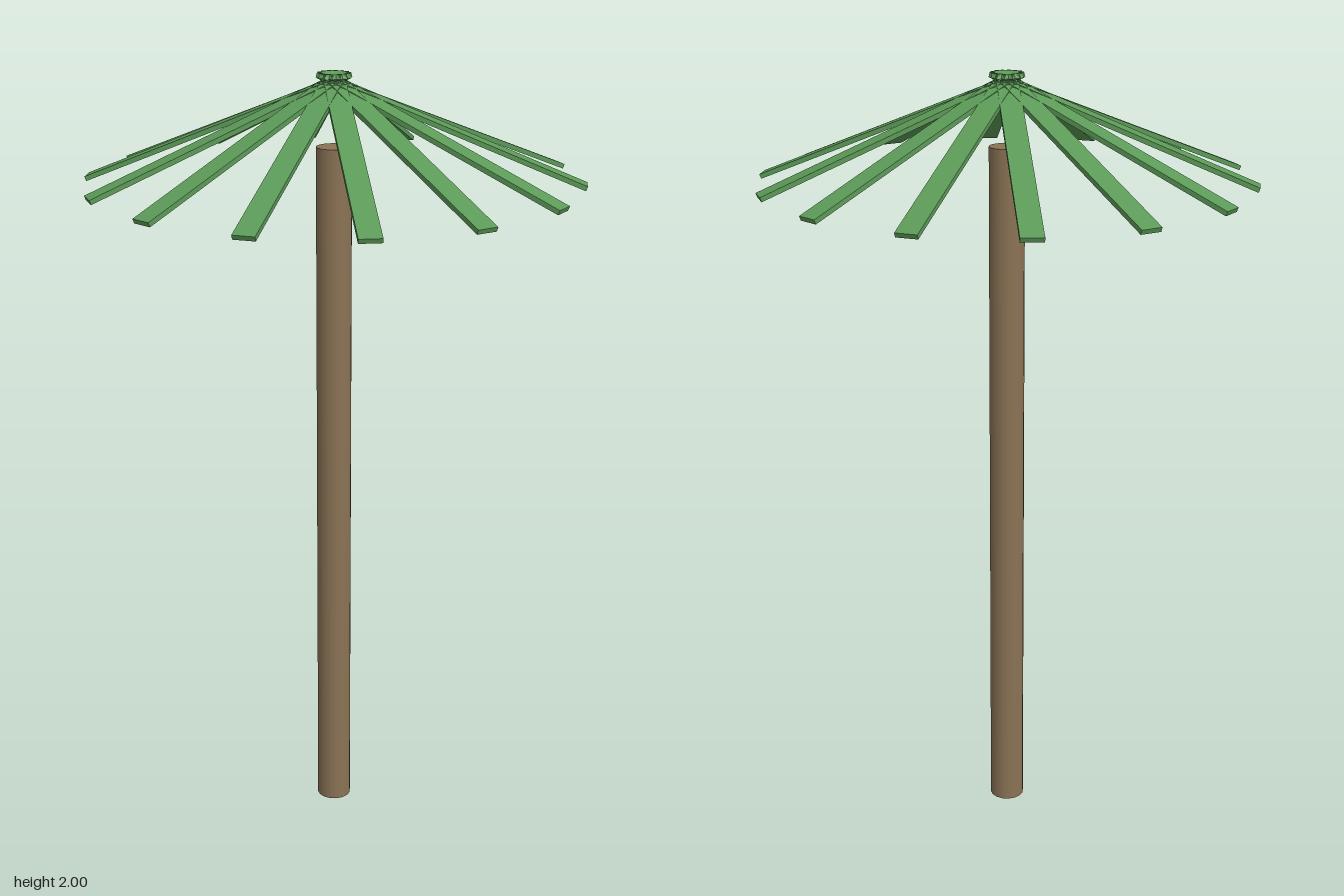
import * as THREE from 'three';

const FRONDS = 14;
const TRUNK_HEIGHT = 1.82;
const TILT = Math.atan(0.4);

export function createModel() {
  const model = new THREE.Group();
  model.name = 'palmTree';

  const bark = new THREE.MeshStandardMaterial({ color: 0x8b7355 });
  const leaf = new THREE.MeshStandardMaterial({ color: 0x5c9a58 });

  // Straight trunk, ending a little below the crown
  const trunkGeometry = new THREE.CylinderGeometry(0.045, 0.045, TRUNK_HEIGHT, 16);
  trunkGeometry.translate(0, TRUNK_HEIGHT / 2, 0);
  const trunk = new THREE.Mesh(trunkGeometry, bark);
  trunk.name = 'trunk';
  model.add(trunk);

  // Frond: a thin slat sloping down; its upper end passes just beyond the axis
  const length = 0.703, thickness = 0.012, width = 0.055;
  const frondGeometry = new THREE.BoxGeometry(length, thickness, width);
  frondGeometry.translate(length / 2, -thickness / 2, 0);
  frondGeometry.rotateZ(-TILT);
  frondGeometry.translate(-0.031, 2, 0);

  // Crown: fronds spread evenly around the axis
  const crown = new THREE.Group();
  crown.name = 'crown';
  for (let i = 0; i < FRONDS; i++) {
    const frond = new THREE.Mesh(frondGeometry, leaf);
    frond.name = 'frond' + (i + 1);
    frond.rotation.y = THREE.MathUtils.degToRad(11.7) + (i / FRONDS) * Math.PI * 2;
    crown.add(frond);
  }
  model.add(crown);

  return model;
}
